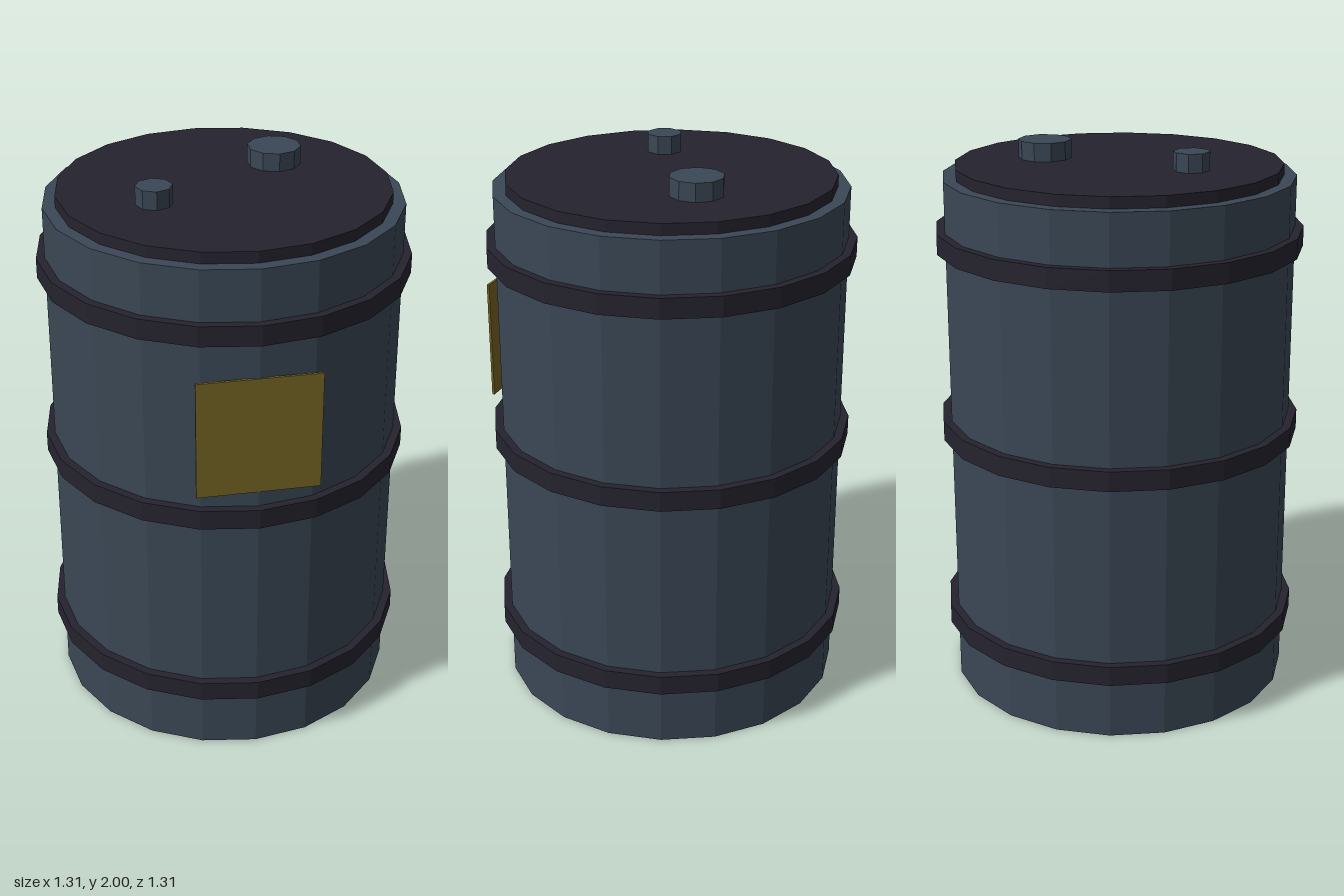
import * as THREE from 'three';

export function createModel() {
  const model = new THREE.Group();
  model.name = 'barrel';

  const material = (name, color) => {
    const m = new THREE.MeshStandardMaterial({ color, flatShading: true });
    m.name = name;
    return m;
  };
  const steel = material('blue grey steel', 0x3a4755);
  const dark = material('dark trim', 0x25232e);
  const yellow = material('ochre label', 0x746223);

  const add = (name, geometry, mat, x, y, z) => {
    const mesh = new THREE.Mesh(geometry, mat);
    mesh.name = name;
    mesh.position.set(x, y, z);
    model.add(mesh);
  };
  // Upright faceted cylinder between two heights
  const drum = (name, radius, y0, y1, sides, mat, x = 0, z = 0) =>
    add(name, new THREE.CylinderGeometry(radius, radius, y1 - y0, sides), mat, x, (y0 + y1) / 2, z);

  // Shell and raised lid
  drum('body', 0.625, 0, 1.895, 20, steel);
  drum('lid', 0.58, 1.88, 1.935, 20, dark);

  // Three hoops around the shell
  ['lowerHoop', 'middleHoop', 'upperHoop'].forEach((name, i) => {
    const y = [0.253, 0.987, 1.677][i];
    drum(name, 0.655, y - 0.036, y + 0.036, 20, dark);
  });

  // Bung caps on the lid
  drum('largeBung', 0.095, 1.925, 2, 10, steel, 0.214, -0.175);
  drum('smallBung', 0.064, 1.925, 2, 8, steel, -0.26, 0.127);

  // Label plate on the front
  add('label', new THREE.BoxGeometry(0.427, 0.43, 0.009), yellow, 0, 1.295, 0.6235);

  return model;
}
